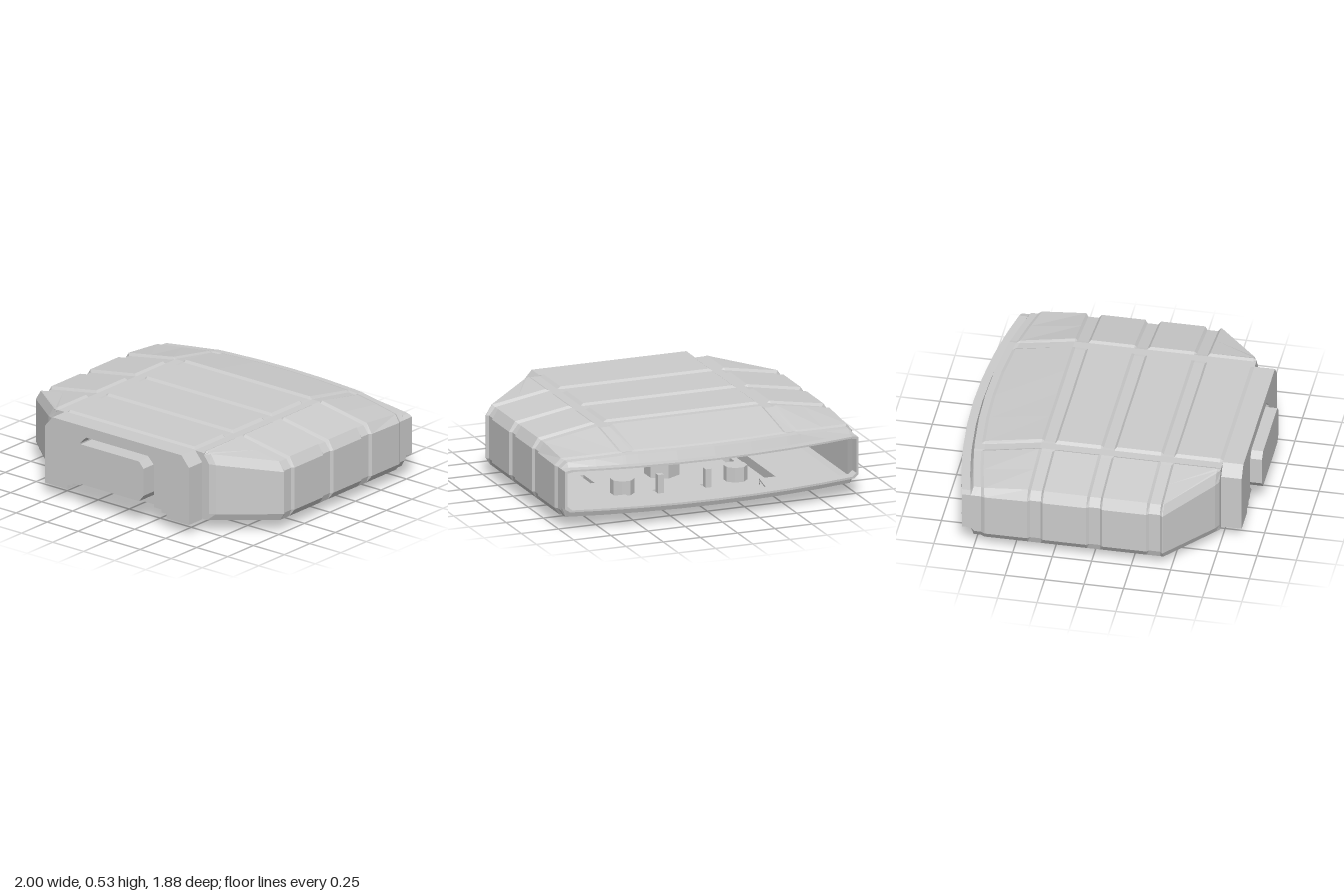
import * as THREE from 'three';

const grey = new THREE.MeshStandardMaterial({ color: 0xcccccc, flatShading: true, side: THREE.DoubleSide });

// One closed cross-section of the hull; c bends it along the curved rear edge.
function section({ z, w = 1, t = 0.53, sh = 0.465, e = 0.4, b = 0.075, side = t - 0.005, d = 0.015, g = 0, c = 0, k = 0.045 }) {
  const dip = 0.014 * g, x = w - 0.015 * g;
  const half = [
    ...[0, 0.25, 0.5, 0.75, 1].map(f => [f * (w - 0.03), b]),
    [x, b + k], [x, e], [x - 0.04, sh - dip],
    [(x + 0.56) / 2, (sh + side) / 2 - dip], [0.6, side - dip],
    [0.58, t - Math.max(d, dip)], [0.52, t - Math.max(d, dip)],
    [0.5, t - dip], [0.25, t - dip], [0, t - dip],
  ];
  const ring = [...half, ...half.slice(1, -1).reverse().map(([px, py]) => [-px, py])];
  return ring.map(([px, py]) => [px, py, z - c * 0.12 * (1 - px * px)]);
}

// Front corners taper from full width to the nose.
function nose(z, g = 0) {
  const f = (z - 0.45) / 0.29;
  return { z, g, w: 1 - 0.35 * f, sh: 0.465 + 0.05 * f, e: 0.4 + 0.05 * f };
}

function hullGeometry() {
  const stations = [nose(0.74, 1), nose(0.72), nose(0.45)];
  // panel grooves
  for (const z of [0.395, 0.015, -0.36]) {
    stations.push({ z: z + 0.05 }, { z: z + 0.034, g: 1 }, { z: z - 0.034, g: 1 }, { z: z - 0.05 });
  }
  const inner = { d: 0, k: 0.02 };
  stations.push(
    // sloping tail and curved rear lip
    { z: -0.68, t: 0.465, side: 0.462, sh: 0.44, e: 0.395, c: 1, d: 0.01 },
    { z: -0.70, t: 0.458, side: 0.455, sh: 0.432, e: 0.39, w: 0.985, c: 1, d: 0 },
    { z: -0.745, t: 0.455, side: 0.452, sh: 0.43, e: 0.39, w: 0.985, c: 1, d: 0 },
    { z: -0.765, t: 0.40, side: 0.40, sh: 0.40, e: 0.39, b: 0.125, k: 0.02, w: 0.985, c: 1, d: 0 },
    { z: -0.82, t: 0.40, side: 0.40, sh: 0.40, e: 0.39, b: 0.125, k: 0.02, w: 0.985, c: 1, d: 0 },
    // inside surface, back to front
    { z: -0.82, t: 0.388, side: 0.388, sh: 0.388, e: 0.378, b: 0.138, w: 0.972, c: 1, ...inner },
    { z: -0.755, t: 0.39, side: 0.39, sh: 0.39, e: 0.38, b: 0.138, w: 0.97, c: 1, ...inner },
    { z: -0.69, t: 0.43, side: 0.43, sh: 0.41, e: 0.38, b: 0.09, w: 0.965, c: 1, ...inner },
    { z: -0.40, t: 0.495, sh: 0.43, e: 0.38, b: 0.09, w: 0.965, ...inner },
    { z: 0.43, t: 0.495, sh: 0.43, e: 0.38, b: 0.09, w: 0.965, ...inner },
    { z: 0.70, t: 0.495, sh: 0.48, e: 0.42, b: 0.09, w: 0.65, ...inner },
  );
  const rings = stations.map(section), n = rings[0].length, m = rings.length, tri = [];
  const add = (...pts) => pts.forEach(p => tri.push(...p));
  for (let j = 0; j < m - 1; j++) {
    const rear = stations[j].c === 1 && stations[j + 1].c === 1;
    for (let i = 0; i < n; i++) {
      const i2 = (i + 1) % n;
      // the separate floor closes the underside ahead of the lip
      if (!rear && (i < 4 || i >= n - 4)) continue;
      const a = rings[j][i], b = rings[j][i2], c = rings[j + 1][i2], d = rings[j + 1][i];
      add(a, d, c, a, c, b);
    }
  }
  // nose bulkhead, outside and inside
  for (let i = 0; i < n; i++) {
    const i2 = (i + 1) % n;
    add([0, 0.3, 0.74], rings[0][i], rings[0][i2]);
    add([0, 0.3, 0.70], rings[m - 1][i2], rings[m - 1][i]);
  }
  const geo = new THREE.BufferGeometry();
  geo.setAttribute('position', new THREE.Float32BufferAttribute(tri, 3));
  geo.computeVertexNormals();
  return geo;
}

const toVecs = pts => pts.map(([x, y]) => new THREE.Vector2(x, y));

function extrude(pts, holes, depth) {
  const shape = new THREE.Shape(toVecs(pts));
  shape.holes = holes.map(h => new THREE.Path(toVecs(h)));
  return new THREE.ExtrudeGeometry(shape, { depth, bevelEnabled: false });
}

// Horizontal slab from [x, z] outlines.
function slab(pts, holes, y0, y1) {
  const flip = list => list.map(([x, z]) => [x, -z]);
  return extrude(flip(pts), holes.map(flip), y1 - y0).rotateX(-Math.PI / 2).translate(0, y0, 0);
}

const mirrorX = half => [...half, ...half.slice().reverse().map(([x, y]) => [-x, y])];

// Outline of the underside mount, shrunk by s, with its rear edge at z = back.
const mountOutline = (back, s = 0) => mirrorX([
  [0.12, 0.24 - s], [0.3, 0.34 - s], [0.48 - s / 2, 0.34 - s], [0.59 - s, 0.2 - s / 2],
  [0.59 - s, -0.53 + s], [0.48 - s, -0.53 + s], [0.45 - s, back + 0.06 + s], [0.3 - s / 2, back + 0.015 + s], [0.12, back + s],
]);

const rect = (x, z, w, d) => [[x - w / 2, z - d / 2], [x + w / 2, z - d / 2], [x + w / 2, z + d / 2], [x - w / 2, z + d / 2]];
const poly = (x, z, r, n) => Array.from({ length: n }, (_, i) => {
  const a = (i + 0.5) / n * Math.PI * 2;
  return [x + r * Math.cos(a), z + r * Math.sin(a)];
});

export function createModel() {
  const model = new THREE.Group();
  const add = (name, geo) => {
    const mesh = new THREE.Mesh(geo, grey);
    mesh.name = name;
    model.add(mesh);
  };

  add('hullShell', hullGeometry());

  // Floor with an opening over the mount tray
  const floorHalf = [[0.62, 0.74], [0.97, 0.45], [0.97, -0.69]];
  for (const x of [0.728, 0.485, 0.243, 0]) floorHalf.push([x, -0.69 - 0.12 * (1 - x * x)]);
  add('floor', slab(mirrorX(floorHalf).slice(0, -7).concat(
    floorHalf.slice(0, -1).reverse().map(([x, z]) => [-x, z])), [mountOutline(-0.77, 0.03)], 0.075, 0.09));

  // Stepped mount tray with sockets
  const sockets = [poly(0, 0, 0.09, 6)];
  const slots = [];
  for (const s of [-1, 1]) {
    sockets.push(poly(s * 0.38, -0.28, 0.06, 8));
    slots.push(rect(s * 0.16, -0.31, 0.05, 0.03), rect(s * 0.49, 0.07, 0.06, 0.18));
  }
  add('mountBase', slab(mountOutline(-0.6), [...sockets, ...slots], 0, 0.03));
  add('mountMiddleStep', slab(mountOutline(-0.68), [mountOutline(-0.6, 0.03)], 0.03, 0.05));
  add('mountTopStep', slab(mountOutline(-0.77), [mountOutline(-0.68, 0.03)], 0.05, 0.08));
  const grow = (pts, f) => {
    const cx = pts.reduce((a, p) => a + p[0], 0) / pts.length;
    const cz = pts.reduce((a, p) => a + p[1], 0) / pts.length;
    return pts.map(([x, z]) => [cx + (x - cx) * f, cz + (z - cz) * f]);
  };
  for (const hole of sockets) {
    add('socketWall', slab(grow(hole, 1.25), [hole], 0.03, 0.11));
    add('socketCap', slab(grow(hole, 1.25), [], 0.11, 0.125));
  }
  for (const s of [-1, 1]) {
    add('sideLatch', new THREE.BoxGeometry(0.03, 0.04, 0.2).translate(s * 0.585, 0.05, 0.07));
    add('innerPost', new THREE.BoxGeometry(0.04, 0.12, 0.04).translate(s * 0.16, 0.09, -0.36));
  }

  // Front plate with a stepped cut-out around the nose block
  const outer = [[0.58, 0.07], [0.58, 0.45], [0.52, 0.52]];
  const cut = [[0.25, 0.45], [0.3, 0.4], [0.3, 0.19], [0.25, 0.14], [0.3, 0.14], [0.3, 0.12],
    [0.36, 0.12], [0.36, 0.1], [0.4, 0.1], [0.4, 0.07]];
  const neg = list => list.map(([x, y]) => [-x, y]);
  add('frontPlate', extrude([...outer, ...neg(outer).reverse(), ...neg(cut).reverse(), ...cut],
    [], 0.13).translate(0, 0, 0.74));
  add('noseBlock', extrude(mirrorX([[0.235, 0.165], [0.272, 0.21], [0.272, 0.39], [0.235, 0.43]]),
    [], 0.2).translate(0, 0, 0.74));

  return model;
}
